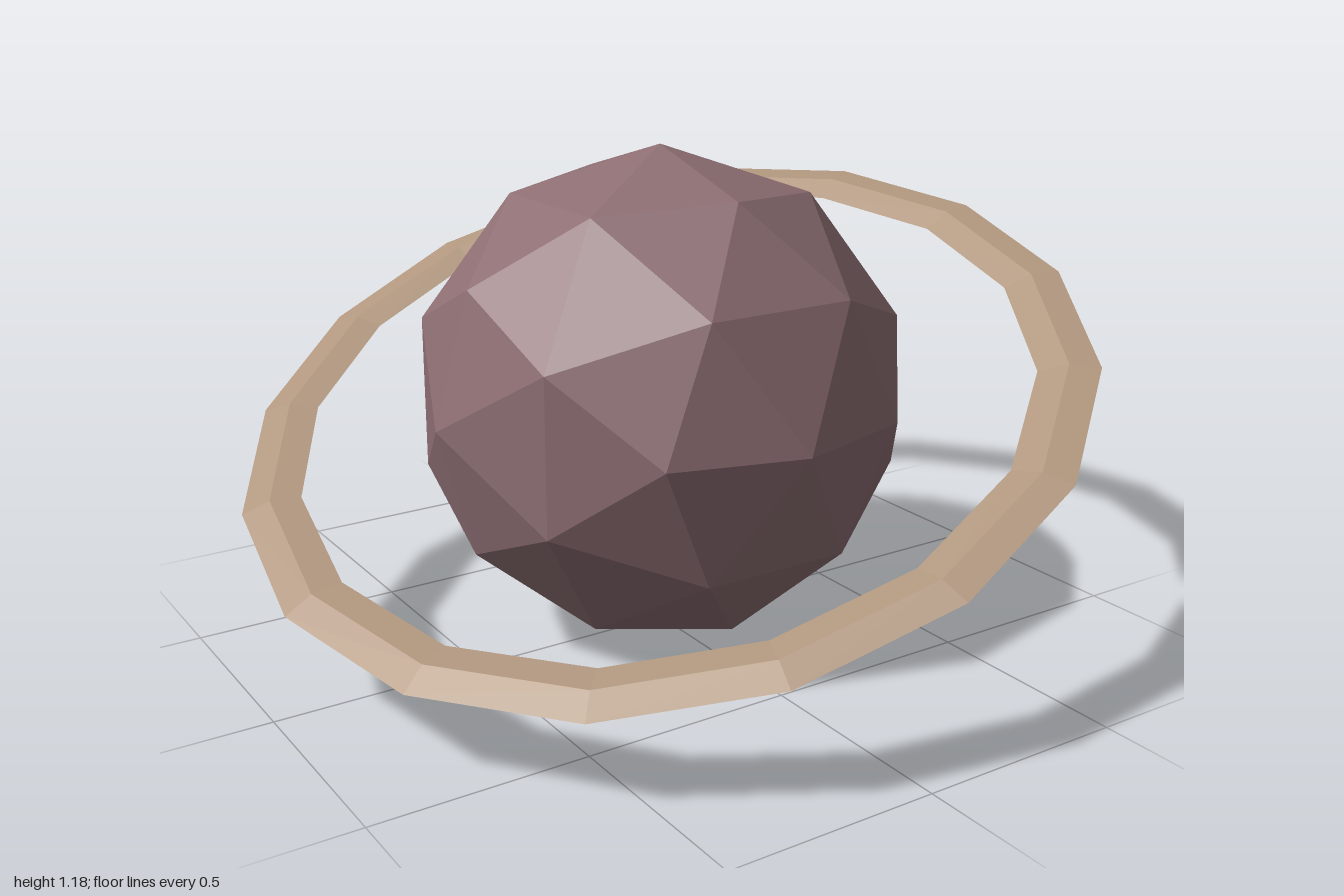
import * as THREE from 'three';

export function createModel() {
  const model = new THREE.Group();
  model.name = 'ringedPlanet';

  const mauve = new THREE.MeshStandardMaterial({ color: 0x8d6e73, flatShading: true });
  mauve.name = 'dusty mauve';
  const sand = new THREE.MeshStandardMaterial({ color: 0xb0967e, flatShading: true });
  sand.name = 'sand';

  const centreY = 0.59;

  // Planet: once-subdivided icosahedron, turned a quarter about y
  const planet = new THREE.Mesh(new THREE.IcosahedronGeometry(0.588, 1).rotateY(Math.PI / 2), mauve);
  planet.name = 'planet';
  planet.position.y = centreY;
  model.add(planet);

  // Ring: 16-sided torus with a flattened diamond section, tilted up to the left and back
  const ringGeometry = new THREE.TorusGeometry(0.949, 0.071, 4, 16)
    .scale(1, 1, 0.23)
    .rotateX(Math.PI / 2);
  const ring = new THREE.Mesh(ringGeometry, sand);
  ring.name = 'ring';
  ring.position.y = centreY;
  ring.rotation.set(0.2, 0, 0.35, 'ZYX');
  model.add(ring);

  return model;
}
